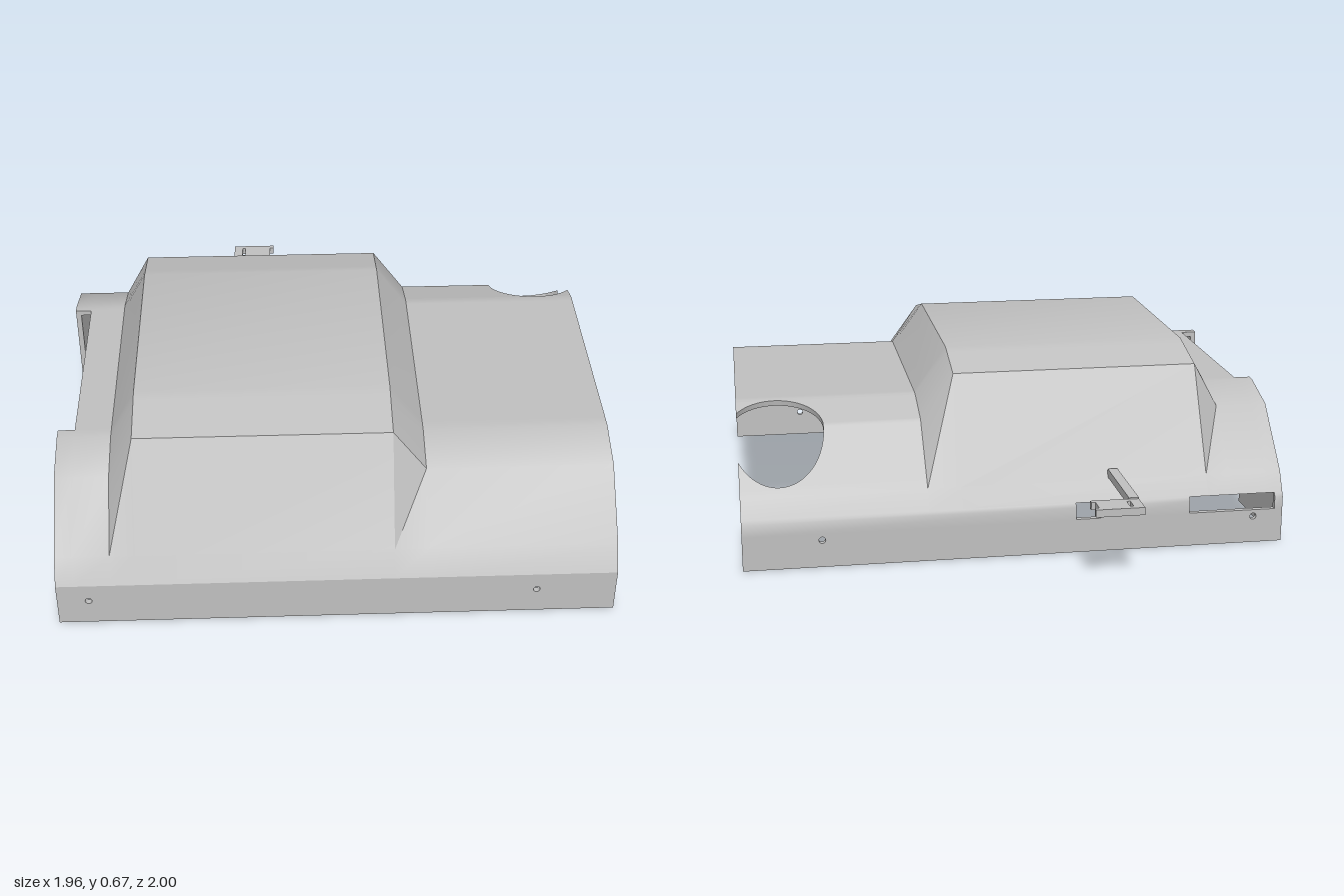
import * as THREE from 'three';
import { mergeGeometries, toCreasedNormals } from 'three/addons/utils/BufferGeometryUtils.js';

// Profile rows from front to back, [z, y]: low section, raised section, and their inner faces
const LOW = [[1, .17], [.95, .26], [.75, .455], [.59, .505], [.55, .505], [-.2, .505], [-.23, .505],
  [-.4, .455], [-.6, .255], [-.637, .185], [-.645, .17], [-.645, .125]];
const HIGH = [[1, .17], [.95, .26], [.75, .62], [.59, .66], [.55, .67], [-.2, .67], [-.24, .66],
  [-.4, .62], [-.6, .255], [-.637, .185], [-.645, .17], [-.645, .125]];
const LOW_IN = [[.98, .165], [.935, .245], [.74, .436], [.587, .485], [.55, .485], [-.2, .485], [-.227, .485],
  [-.39, .436], [-.585, .243], [-.618, .18], [-.625, .165], [-.625, .125]];
const HIGH_IN = [[.98, .165], [.935, .245], [.738, .603], [.587, .64], [.55, .65], [-.2, .65], [-.237, .64],
  [-.388, .603], [-.585, .243], [-.618, .18], [-.625, .165], [-.625, .125]];

const lerp = THREE.MathUtils.lerp;
const clamp01 = v => THREE.MathUtils.clamp(v, 0, 1);
const hump = x => Math.min(clamp01((x + .79) / .09), clamp01((.32 - x) / .12));

function at(profile, t) {
  const i = Math.min(Math.floor(t), profile.length - 2), f = t - i;
  return [0, 1].map(k => lerp(profile[i][k], profile[i + 1][k], f));
}

function point(t, x, low, high) {
  const a = at(low, t), b = at(high, t), h = hump(x);
  return [x, lerp(a[1], b[1], h), lerp(a[0], b[0], h)];
}

// Row number of the low profile at depth z
function rowAt(z) {
  let i = 0;
  while (LOW[i + 1][0] > z) i++;
  return i + (LOW[i][0] - z) / (LOW[i][0] - LOW[i + 1][0]);
}

// Sheet with thickness over rows ts and columns xs(t); walls lists the closed sides: f, r, b, l
function sheet(ts, xs, walls) {
  const outer = ts.map(t => xs(t).map(x => point(t, x, LOW, HIGH)));
  const inner = ts.map(t => xs(t).map(x => point(t, x, LOW_IN, HIGH_IN)));
  const pos = [];
  const quad = (a, b, c, d) => pos.push(...a, ...b, ...c, ...a, ...c, ...d);
  const m = ts.length - 1, n = outer[0].length - 1;
  const wall = (i, j, k, l) => quad(outer[i][j], inner[i][j], inner[k][l], outer[k][l]);
  for (let i = 0; i < m; i++) {
    for (let j = 0; j < n; j++) {
      quad(outer[i][j], outer[i][j + 1], outer[i + 1][j + 1], outer[i + 1][j]);
      quad(inner[i][j], inner[i + 1][j], inner[i + 1][j + 1], inner[i][j + 1]);
    }
    if (walls.includes('r')) wall(i, n, i + 1, n);
    if (walls.includes('l')) wall(i + 1, 0, i, 0);
  }
  for (let j = 0; j < n; j++) {
    if (walls.includes('f')) wall(0, j, 0, j + 1);
    if (walls.includes('b')) wall(m, j + 1, m, j);
  }
  const g = new THREE.BufferGeometry();
  g.setAttribute('position', new THREE.Float32BufferAttribute(pos, 3));
  return g;
}

const range = (a, b) => Array.from({ length: b - a + 1 }, (_, i) => a + i);
const polygon = pts => new THREE.Shape(pts.map(p => new THREE.Vector2(p[0], p[1])));
const rect = (x0, y0, x1, y1) => [[x0, y0], [x1, y0], [x1, y1], [x0, y1]];
const extrude = (shape, depth) => new THREE.ExtrudeGeometry(shape, { depth, bevelEnabled: false, curveSegments: 12 });

export function createModel() {
  const group = new THREE.Group();
  const grey = new THREE.MeshStandardMaterial({ color: 0xc0c0c0 });
  grey.name = 'light grey';
  const add = (name, geometry) => {
    const mesh = new THREE.Mesh(geometry, grey);
    mesh.name = name;
    group.add(mesh);
    return mesh;
  };

  // Round opening through the low roof, broken out at the side edge
  const cx = .84, cz = -.408, r = .168, edge = .98;
  const half = z => Math.sqrt(Math.max(0, r * r - (z - cz) ** 2));
  const zs = Array.from({ length: 33 }, (_, i) => cz + r * Math.cos(Math.PI * i / 32));
  const gap = Math.sqrt(r * r - (edge - cx) ** 2);
  zs.push(cz + gap, cz - gap, LOW[7][0]);
  const rows = [...new Set(zs)].sort((a, b) => b - a).map(rowAt);
  const zOf = t => at(LOW, t)[0];
  const first = rows[0], last = rows[rows.length - 1];
  const tipRows = [rows.filter(t => zOf(t) >= cz + gap - 1e-6), rows.filter(t => zOf(t) <= cz - gap + 1e-6)];

  // Roof shell with the raised middle and the side notch
  const full = () => [.32, edge];
  const shell = [
    sheet(range(0, 9), () => [-.92, -.79, -.70, .20, .32], 'l'),
    sheet(range(0, 4), () => [-.98, -.92], 'lb'),
    sheet(range(5, 9), () => [-.98, -.92], 'lf'),
    sheet([...range(0, 6).filter(t => t < first), first], full, 'r'),
    sheet(rows, t => [.32, cx - half(zOf(t))], 'r'),
    sheet([last, ...range(8, 9).filter(t => t > last)], full, 'r'),
    ...tipRows.map(ts => sheet(ts, t => [Math.min(edge, cx + half(zOf(t))), edge], 'lr')),
  ];
  add('roofShell', toCreasedNormals(mergeGeometries(shell), .52));

  // Band along the back, left open at two slots
  const band = [[-.98, -.95], [-.63, -.30], [-.21, .98]].map(xs => sheet([9, 10, 11], () => xs, 'lrfb'));
  // Ledges closing the slots above and below come from the neighbouring sheets
  add('slottedBackBand', toCreasedNormals(mergeGeometries(band), .52));

  // Upright skirts with screw holes
  for (const [name, height, z] of [['frontSkirt', .17, .98], ['backSkirt', .125, -.645]]) {
    const shape = polygon(rect(-.98, 0, .98, height));
    for (const x of [-.87, .70]) {
      shape.holes.push(new THREE.Path().absarc(x, .10, .012, 0, Math.PI * 2, true));
    }
    add(name, extrude(shape, .02)).position.z = z;
  }

  // End plates either side of the side notch
  const plates = [
    ['frontEndPlate', [[.55, 0], [.99, 0], ...LOW_IN.slice(0, 5)]],
    ['backEndPlate', [[-.2, 0], ...LOW_IN.slice(5), [-.635, 0]]],
  ];
  for (const [name, pts] of plates) {
    const g = extrude(polygon(pts), .02);
    g.rotateY(-Math.PI / 2);
    add(name, g).position.x = -.96;
  }

  // Bracket reaching out at the back: arm and slotted foot, drawn in plan as [x, -z]
  const flat = (shape, depth) => extrude(shape, depth).rotateX(-Math.PI / 2);
  add('bracketArm', flat(polygon(rect(-.37, .59, -.335, .91)), .03)).position.y = .262;
  const foot = polygon([[-.37, .905], [-.20, .905], [-.20, .925], [-.215, .925], [-.215, .98],
    [-.20, .98], [-.20, 1], [-.37, 1]]);
  foot.holes.push(new THREE.Path(rect(-.335, .93, -.322, .98).map(p => new THREE.Vector2(...p))));
  add('bracketFoot', flat(foot, .027)).position.y = .26;

  return group;
}
